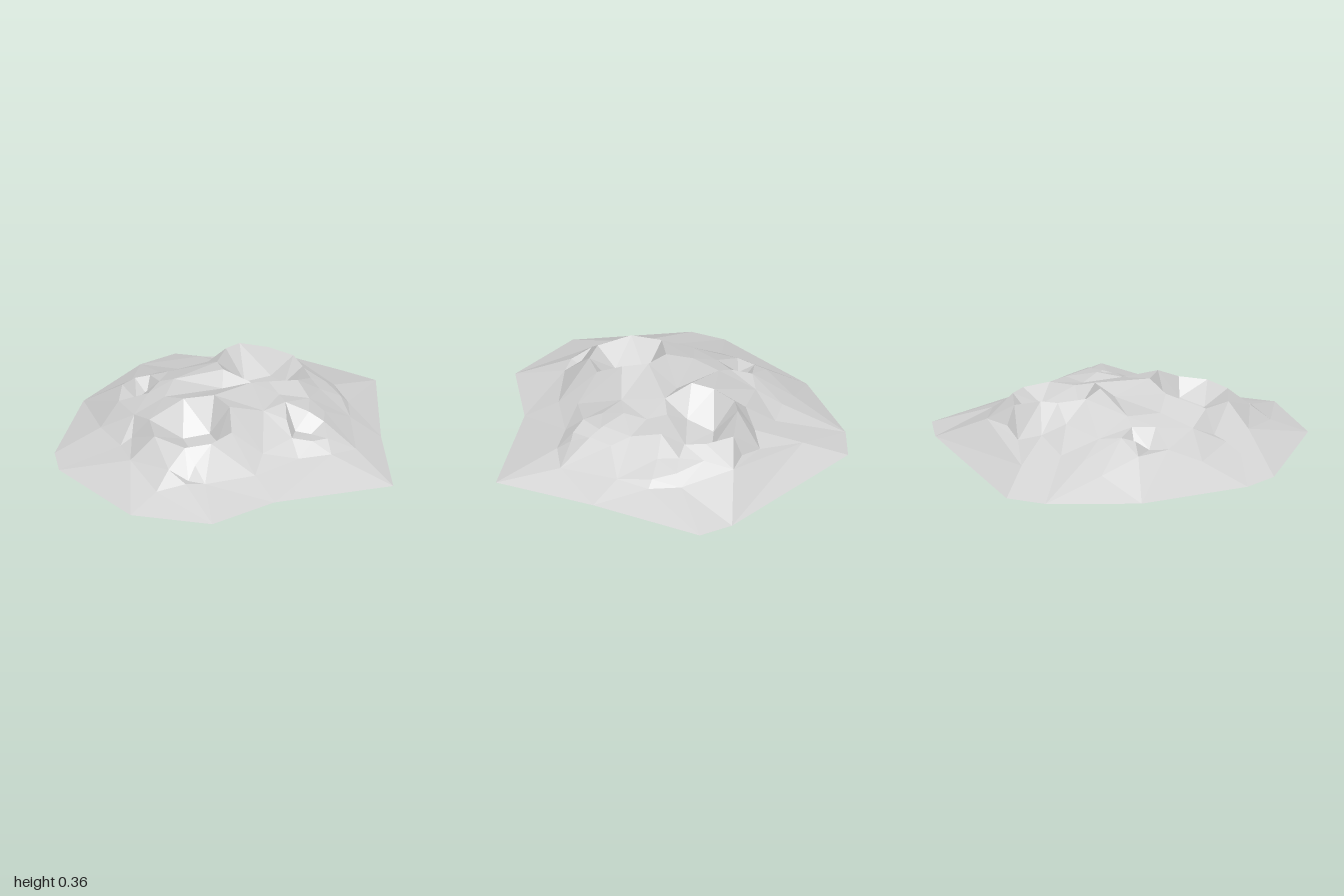
import * as THREE from 'three';

// Ground outline, [x, z]
const outline = [
  [0, -1], [0.85, -0.55], [0.99, -0.4], [0.84, 0.25], [0.75, 0.83], [0.06, 0.84],
  [-0.34, 0.995], [-0.75, 0.77], [-0.99, 0.15], [-0.96, -0.05], [-0.64, -0.6], [-0.22, -0.93],
];

// Craters: rim and floor corners, [x, z, height]
const craters = [
  { // large front crater
    rim: [[-0.48, 0.19, 0.27], [-0.26, 0.11, 0.33], [-0.1, 0.17, 0.36], [-0.05, 0.31, 0.35],
      [-0.08, 0.46, 0.27], [-0.22, 0.54, 0.26], [-0.37, 0.53, 0.25], [-0.5, 0.37, 0.26]],
    floor: [[-0.3, 0.24, 0.15], [-0.15, 0.26, 0.17], [-0.14, 0.39, 0.18], [-0.3, 0.41, 0.16]],
  },
  { // large back crater
    rim: [[0.03, -0.11, 0.36], [0.03, -0.24, 0.34], [0.12, -0.38, 0.34], [0.21, -0.42, 0.34], [0.38, -0.44, 0.28],
      [0.49, -0.31, 0.28], [0.51, -0.19, 0.27], [0.44, -0.04, 0.27], [0.27, -0.03, 0.29], [0.16, 0.01, 0.32]],
    floor: [[0.2, -0.28, 0.17], [0.36, -0.31, 0.17], [0.4, -0.17, 0.19], [0.17, -0.12, 0.21]],
  },
  { // small front crater
    rim: [[0.3, 0.21, 0.28], [0.41, 0.3, 0.25], [0.48, 0.36, 0.21], [0.47, 0.47, 0.16],
      [0.38, 0.48, 0.16], [0.27, 0.45, 0.18], [0.27, 0.34, 0.24]],
    floor: [[0.32, 0.34, 0.16], [0.4, 0.38, 0.15]],
  },
  { // small back crater
    rim: [[-0.47, -0.41, 0.18], [-0.41, -0.36, 0.24], [-0.32, -0.37, 0.24],
      [-0.3, -0.25, 0.26], [-0.39, -0.15, 0.25], [-0.54, -0.23, 0.18]],
    floor: [[-0.36, -0.3, 0.16], [-0.43, -0.26, 0.16]],
  },
  { // tiny front crater
    rim: [[-0.48, 0.59, 0.16], [-0.33, 0.6, 0.17], [-0.3, 0.7, 0.1], [-0.41, 0.69, 0.11]],
    floor: [[-0.38, 0.64, 0.1]],
  },
];

// Ridges and benches between the craters, [x, z, height]
const ridges = [
  [-0.23, -0.2, 0.29], [-0.2, -0.42, 0.22], [0.03, -0.42, 0.25], [0.14, -0.5, 0.18], [-0.33, -0.03, 0.28],
  [0, -0.02, 0.29], [0.16, 0.26, 0.27], [0.3, 0.08, 0.26], [-0.52, 0.02, 0.22], [-0.57, 0.15, 0.15],
  [-0.64, 0.17, 0.12], [-0.64, 0.37, 0.13], [-0.75, 0.16, 0.08], [-0.68, -0.1, 0.1], [0.08, 0.53, 0.15],
  [0, 0.66, 0.09], [0.28, 0.55, 0.1], [0.47, 0.55, 0.1], [0.63, 0.49, 0.08], [0.52, 0.23, 0.2],
  [0.46, 0.13, 0.24], [0.69, 0.15, 0.1], [0.7, -0.22, 0.11], [0.69, -0.05, 0.13], [0.73, -0.04, 0.09],
  [0.64, -0.18, 0.16], [0.57, -0.05, 0.19], [0.55, -0.17, 0.2], [0.54, -0.31, 0.2], [0.54, -0.48, 0.17],
  [0.39, -0.49, 0.17], [0.26, -0.56, 0.14], [-0.21, -0.57, 0.14], [-0.05, -0.57, 0.13], [0.08, -0.76, 0.1],
  [-0.36, -0.6, 0.1], [-0.57, 0.66, 0.07],
];

// Is p inside the circle through the triangle's corners?
function inCircle([a, b, c], p) {
  const [ax, ay, bx, by, cx, cy] = [a, b, c].flatMap((q) => [q[0] - p[0], q[1] - p[1]]);
  const det = (ax * ax + ay * ay) * (bx * cy - cx * by)
    - (bx * bx + by * by) * (ax * cy - cx * ay)
    + (cx * cx + cy * cy) * (ax * by - bx * ay);
  return det > 0;
}

const cross = (a, b, c) => (b[0] - a[0]) * (c[1] - a[1]) - (b[1] - a[1]) * (c[0] - a[0]);

// Joins scattered points into a net of well-shaped triangles
function triangulate(points) {
  const corners = [[-50, -50], [50, -50], [0, 70]];
  let triangles = [corners];
  for (const p of points) {
    const hit = triangles.filter((t) => inCircle(t, p));
    const edges = hit.flatMap(([a, b, c]) => [[a, b], [b, c], [c, a]]);
    const border = edges.filter(([a, b]) => !edges.some(([c, d]) => c === b && d === a));
    triangles = triangles.filter((t) => !hit.includes(t));
    for (const [a, b] of border) triangles.push([a, b, p]);
  }
  return triangles.filter((t) => !t.some((p) => corners.includes(p)) && Math.abs(cross(...t)) > 1e-6);
}

function insideOutline(x, z) {
  let inside = false;
  outline.forEach(([x1, z1], i) => {
    const [x2, z2] = outline[(i + 1) % outline.length];
    if ((z1 > z) !== (z2 > z) && x < x1 + ((z - z1) / (z2 - z1)) * (x2 - x1)) inside = !inside;
  });
  return inside;
}

function surface(triangles) {
  const geometry = new THREE.BufferGeometry();
  const xyz = triangles.flatMap((t) => t.flatMap(([x, z, y]) => [x, y, z]));
  geometry.setAttribute('position', new THREE.Float32BufferAttribute(xyz, 3));
  geometry.computeVertexNormals();
  return geometry;
}

export function createModel() {
  const group = new THREE.Group();
  group.name = 'crateredMound';
  const stone = new THREE.MeshStandardMaterial({ color: 0xd2d2d2, flatShading: true });
  stone.name = 'pale grey stone';

  // Faceted upper surface, wound to face up
  const edge = outline.map(([x, z]) => [x, z, 0.005]);
  const points = [...edge, ...craters.flatMap((c) => [...c.rim, ...c.floor]), ...ridges];
  const facets = triangulate(points)
    .filter(([a, b, c]) => insideOutline((a[0] + b[0] + c[0]) / 3, (a[1] + b[1] + c[1]) / 3))
    .map(([a, b, c]) => (cross(a, b, c) > 0 ? [a, c, b] : [a, b, c]));
  const mound = new THREE.Mesh(surface(facets), stone);
  mound.name = 'rockyMound';

  // Flat underside, wound to face down
  const flat = THREE.ShapeUtils.triangulateShape(outline.map(([x, z]) => new THREE.Vector2(x, z)), [])
    .map((t) => t.map((i) => [...outline[i], 0]))
    .map(([a, b, c]) => (cross(a, b, c) > 0 ? [a, b, c] : [a, c, b]));
  const base = new THREE.Mesh(surface(flat), stone);
  base.name = 'underside';

  group.add(mound, base);
  return group;
}
